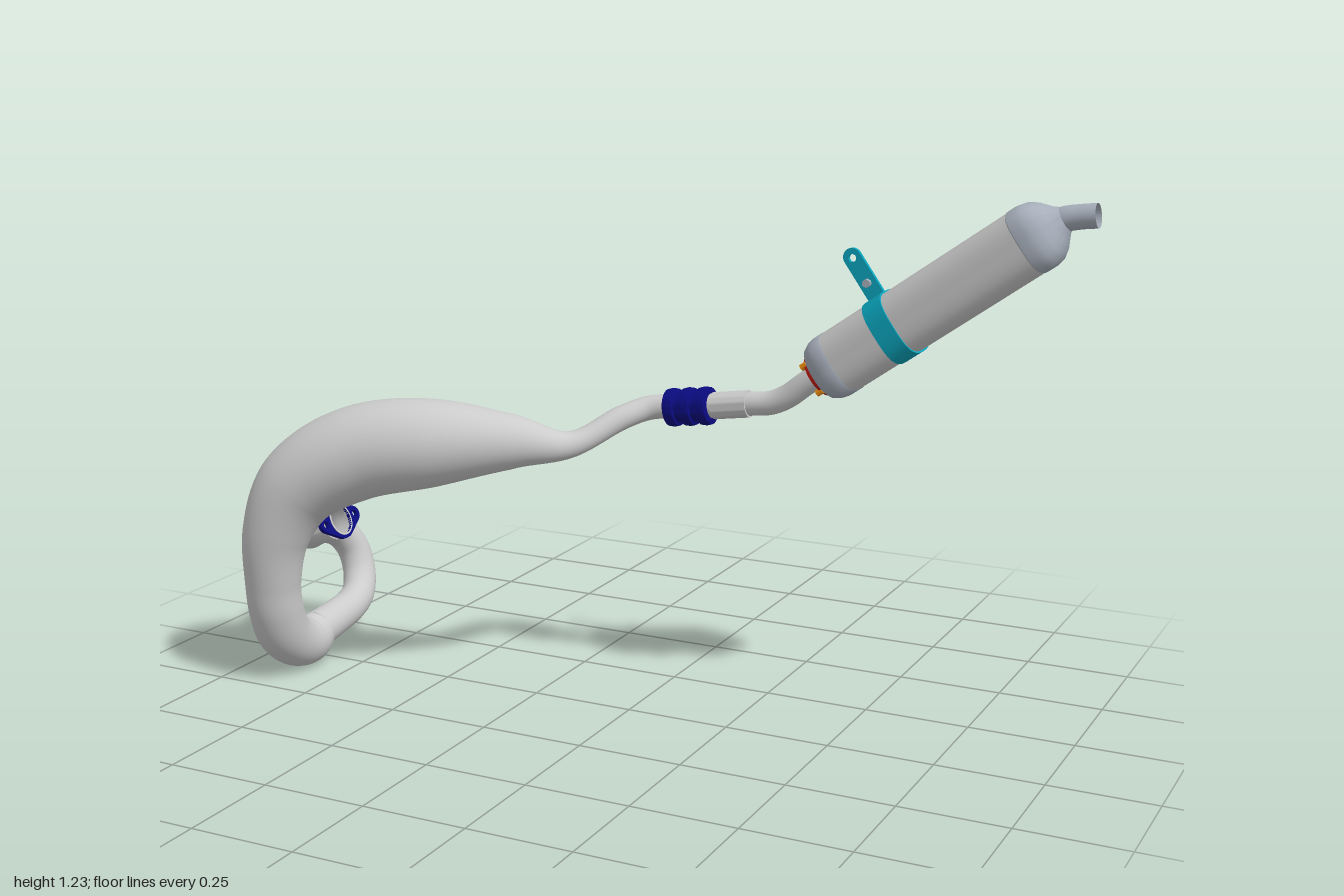
import * as THREE from 'three';
import { mergeVertices, toCreasedNormals } from 'three/addons/utils/BufferGeometryUtils.js';

const mat = (color) => new THREE.MeshStandardMaterial({ color, side: THREE.DoubleSide });
const GREY = mat(0xcccccc), STEEL = mat(0xa8b0bc), TEAL = mat(0x0aa5bd);
const NAVY = mat(0x0b0b80), RED = mat(0xb01810), ORANGE = mat(0xf09010);
const UP = new THREE.Vector3(0, 1, 0);

function add(parent, name, geometry, material) {
  const mesh = new THREE.Mesh(geometry, material);
  mesh.name = name;
  parent.add(mesh);
  return mesh;
}

// Round tube through [x, y, z, radius] stations
function sweep(stations, segs, sides = 40) {
  const curve = new THREE.CatmullRomCurve3(stations.map((s) => new THREE.Vector3(s[0], s[1], s[2])), false, 'centripetal');
  const radii = new THREE.CatmullRomCurve3(stations.map((s, i) => new THREE.Vector3(i, s[3], 0)), false, 'catmullrom', 0.5);
  curve.arcLengthDivisions = 600;
  const frames = curve.computeFrenetFrames(segs, false);
  const pos = [], idx = [];
  for (let i = 0; i <= segs; i++) {
    const t = curve.getUtoTmapping(i / segs);
    const c = curve.getPoint(t), r = radii.getPoint(t).y;
    for (let j = 0; j < sides; j++) {
      const a = (j / sides) * Math.PI * 2;
      const p = c.clone()
        .addScaledVector(frames.normals[i], Math.cos(a) * r)
        .addScaledVector(frames.binormals[i], Math.sin(a) * r);
      pos.push(p.x, p.y, p.z);
      if (i < segs) {
        const k = (j + 1) % sides, q = i * sides, n = q + sides;
        idx.push(q + j, q + k, n + j, q + k, n + k, n + j);
      }
    }
  }
  const g = new THREE.BufferGeometry();
  g.setAttribute('position', new THREE.Float32BufferAttribute(pos, 3));
  g.setIndex(idx);
  g.computeVertexNormals();
  return g;
}

// Lathe from [radius, height] pairs; "square" pushes the section towards a rounded square
function lathe(profile, square = false) {
  let g = new THREE.LatheGeometry(profile.map(([r, h]) => new THREE.Vector2(r, h)), 56);
  if (square) {
    const p = g.attributes.position;
    for (let i = 0; i < p.count; i++) {
      const x = p.getX(i), z = p.getZ(i), r = Math.hypot(x, z);
      if (r < 1e-6) continue;
      const full = Math.pow(Math.abs(x / r) ** 3 + Math.abs(z / r) ** 3, -1 / 3);
      const k = 1 + (full - 1) * THREE.MathUtils.smoothstep(r, 0.03, 0.07);
      p.setX(i, x * k);
      p.setZ(i, z * k);
    }
  }
  g.deleteAttribute('uv');
  g.deleteAttribute('normal');
  g = mergeVertices(g, 1e-5);
  return toCreasedNormals(g, 0.6);
}

function place(obj, position, direction) {
  obj.position.set(...position);
  obj.quaternion.setFromUnitVectors(UP, new THREE.Vector3(...direction).normalize());
  return obj;
}

// Two-bolt flange with its collar; local y is the outlet direction
function makeFlange() {
  const flange = new THREE.Group();
  flange.name = 'headerFlange';
  const s = new THREE.Shape();
  const tip = 0.062, r = 0.019, R = 0.049;
  const lean = Math.acos((R - r) / tip);
  s.absarc(tip, 0, r, -lean, lean, false);
  s.absarc(0, 0, R, lean, Math.PI - lean, false);
  s.absarc(-tip, 0, r, Math.PI - lean, Math.PI + lean, false);
  s.absarc(0, 0, R, Math.PI + lean, Math.PI * 2 - lean, false);
  for (const [x, hr] of [[0, 0.041], [tip, 0.009], [-tip, 0.009]]) {
    s.holes.push(new THREE.Path().absarc(x, 0, hr, 0, Math.PI * 2, true));
  }
  const g = new THREE.ExtrudeGeometry(s, { depth: 0.01, bevelEnabled: false, curveSegments: 24 });
  g.rotateX(-Math.PI / 2).rotateY(Math.PI / 2);
  add(flange, 'flangePlate', g, NAVY).position.y = -0.012;
  add(flange, 'flangeCollar', lathe([[0.037, 0], [0.041, 0], [0.041, -0.025], [0.045, -0.028],
    [0.045, -0.04], [0.041, -0.045], [0.041, -0.075]]), GREY);
  return flange;
}

// Silencer built along local y; local -x is its upper side
function makeSilencer() {
  const g = new THREE.Group();
  g.name = 'silencer';
  add(g, 'inletCap', lathe([[0, 0], [0.056, 0], [0.066, 0.008], [0.074, 0.024], [0.0765, 0.035],
    [0.0765, 0.06], [0.075, 0.063]], true), STEEL);
  add(g, 'silencerBody', lathe([[0.0755, 0.06], [0.0755, 0.575]], true), GREY);
  add(g, 'outletCap', lathe([[0.0755, 0.57], [0.077, 0.572], [0.077, 0.592], [0.073, 0.61],
    [0.061, 0.629], [0.047, 0.644], [0.036, 0.655], [0.026, 0.668]], true), STEEL);

  // Inlet plate and its bolts
  add(g, 'inletPlate', new THREE.CylinderGeometry(0.052, 0.052, 0.012, 40), RED).position.y = -0.004;
  for (let i = 0; i < 4; i++) {
    const a = (i + 0.5) * Math.PI / 2;
    add(g, 'inletBolt', new THREE.CylinderGeometry(0.009, 0.009, 0.016, 6), ORANGE)
      .position.set(Math.cos(a) * 0.048, -0.012, Math.sin(a) * 0.048);
  }

  // Strap with a drilled hanger tab
  add(g, 'strapBand', lathe([[0.0755, 0.187], [0.0795, 0.187], [0.0795, 0.237], [0.0755, 0.237]], true), TEAL);
  const tab = new THREE.Shape();
  tab.moveTo(0.07, -0.021);
  tab.lineTo(0.182, -0.021);
  tab.absarc(0.182, 0, 0.021, -Math.PI / 2, Math.PI / 2, false);
  tab.lineTo(0.07, 0.021);
  tab.holes.push(new THREE.Path().absarc(0.18, 0, 0.009, 0, Math.PI * 2, true));
  const tabGeo = new THREE.ExtrudeGeometry(tab, { depth: 0.01, bevelEnabled: false, curveSegments: 16 });
  tabGeo.translate(0, 0, -0.005).rotateZ(Math.PI);
  add(g, 'hangerTab', tabGeo, TEAL).position.y = 0.212;
  const bolt = add(g, 'strapBolt', new THREE.CylinderGeometry(0.01, 0.01, 0.034, 6), STEEL);
  bolt.rotation.x = Math.PI / 2;
  bolt.position.set(-0.115, 0.212, 0);
  return g;
}

export function createModel() {
  const model = new THREE.Group();
  model.name = 'exhaustSystem';

  // Header pipe looping back and down from the flange
  add(model, 'headerPipe', sweep([
    [-0.83, 0.362, -0.02, 0.038], [-0.88, 0.34, -0.022, 0.04], [-0.925, 0.315, -0.04, 0.042],
    [-0.953, 0.302, -0.085, 0.042], [-0.957, 0.298, -0.14, 0.042], [-0.95, 0.275, -0.198, 0.042],
    [-0.932, 0.225, -0.234, 0.042], [-0.91, 0.165, -0.23, 0.042], [-0.888, 0.118, -0.19, 0.042],
    [-0.875, 0.1, -0.13, 0.043], [-0.872, 0.09, -0.06, 0.045], [-0.872, 0.08, 0.02, 0.047],
  ], 110), GREY);

  // Expansion chamber, narrowing into the stinger
  add(model, 'expansionChamber', sweep([
    [-0.872, 0.08, 0.018, 0.05], [-0.872, 0.068, 0.06, 0.06], [-0.872, 0.08, 0.11, 0.064],
    [-0.87, 0.122, 0.163, 0.066], [-0.865, 0.19, 0.196, 0.066], [-0.86, 0.27, 0.21, 0.068],
    [-0.843, 0.39, 0.21, 0.082], [-0.79, 0.505, 0.183, 0.102], [-0.66, 0.588, 0.135, 0.113],
    [-0.48, 0.622, 0.08, 0.105], [-0.305, 0.628, 0.008, 0.066], [-0.19, 0.617, -0.067, 0.032],
    [-0.1, 0.672, -0.16, 0.029], [-0.05, 0.692, -0.205, 0.029], [0.01, 0.7, -0.218, 0.029],
    [0.06, 0.704, -0.218, 0.029],
  ], 170, 48), GREY);

  // Link pipe into the silencer
  add(model, 'linkPipe', sweep([
    [0.04, 0.7, -0.218, 0.029], [0.12, 0.712, -0.218, 0.029], [0.2, 0.724, -0.218, 0.028],
    [0.26, 0.733, -0.218, 0.028], [0.3, 0.752, -0.218, 0.028], [0.34, 0.783, -0.218, 0.028],
    [0.4, 0.826, -0.218, 0.028],
  ], 50), GREY);
  place(add(model, 'linkSleeve', lathe([[0.028, -0.045], [0.032, -0.045], [0.032, 0.045], [0.028, 0.045]]), GREY),
    [0.16, 0.718, -0.218], [1, 0.15, 0]);

  // Ribbed rubber coupling
  const ribs = [[0.029, -0.056]];
  for (const y of [-0.042, 0, 0.042]) {
    ribs.push([0.038, y - 0.014], [0.044, y - 0.012], [0.046, y], [0.044, y + 0.012], [0.038, y + 0.014]);
  }
  ribs.push([0.029, 0.056]);
  place(add(model, 'coupling', lathe(ribs), NAVY), [0.053, 0.703, -0.218], [1, 0.14, 0]);

  model.add(place(makeFlange(), [-0.815, 0.368, -0.02], [0.91, 0.42, 0]));
  model.add(place(makeSilencer(), [0.382, 0.813, -0.218], [0.815, 0.58, 0]));

  // Tail pipe levelling out from the outlet cap
  add(model, 'tailPipe', sweep([
    [0.885, 1.172, -0.218, 0.028], [0.92, 1.195, -0.218, 0.028],
    [0.955, 1.203, -0.218, 0.027], [0.995, 1.208, -0.218, 0.027],
  ], 24), STEEL);
  return model;
}
